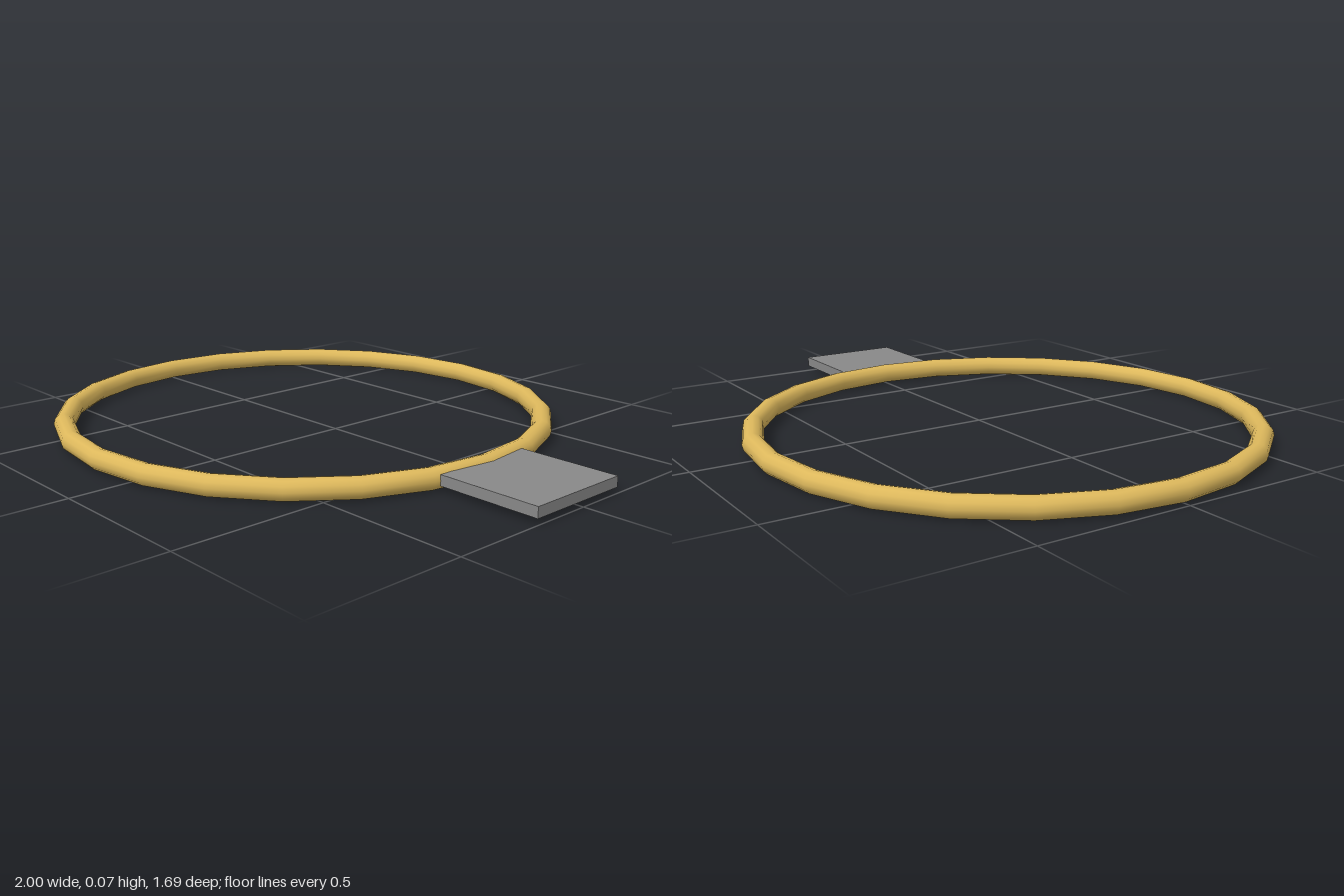
import * as THREE from 'three';

const TUBE = 0.034, RADIUS = 0.81;

export function createModel() {
  const group = new THREE.Group();

  // Flat-lying ring with 24 straight segments and a rounded section
  const ring = new THREE.Mesh(
    new THREE.TorusGeometry(RADIUS, TUBE, 12, 24).rotateX(-Math.PI / 2),
    new THREE.MeshStandardMaterial({ color: 0xddb85c })
  );
  ring.name = 'ring';
  ring.position.set(RADIUS + TUBE - 1, TUBE, 0);

  // Thin tab whose inner edge is buried in the ring
  const inner = 0.66, outer = 1;
  const tab = new THREE.Mesh(
    new THREE.BoxGeometry(outer - inner, 0.034, 0.36),
    new THREE.MeshStandardMaterial({ color: 0x888888 })
  );
  tab.name = 'tab';
  tab.position.set((inner + outer) / 2, 0.036, 0.022);

  group.add(ring, tab);
  return group;
}
